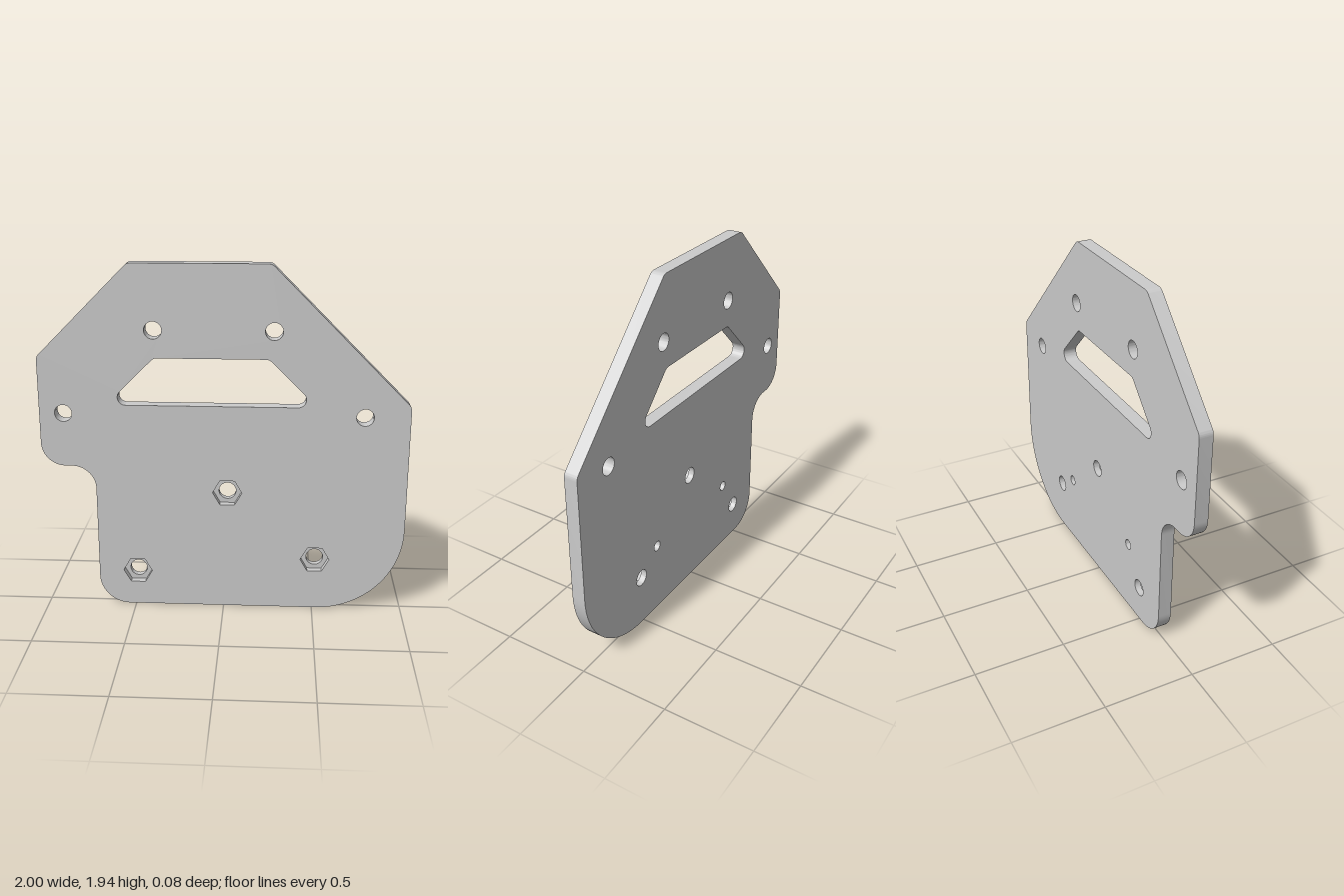
import * as THREE from 'three';
import { toCreasedNormals } from 'three/addons/utils/BufferGeometryUtils.js';

const FRONT = 0.0375, BACK = -0.0375, FLOOR = -0.0025;
const material = new THREE.MeshStandardMaterial({ color: 0xcccccc });

// Counter-clockwise loop from sharp corners [x, y, fillet radius]
function filleted(corners) {
  const points = [];
  const n = corners.length;
  corners.forEach(([x, y, r], i) => {
    const corner = new THREE.Vector2(x, y);
    const [px, py] = corners[(i + n - 1) % n], [nx, ny] = corners[(i + 1) % n];
    const a = new THREE.Vector2(px, py).sub(corner).normalize();
    const b = new THREE.Vector2(nx, ny).sub(corner).normalize();
    const half = Math.acos(a.dot(b)) / 2;
    const turn = (Math.PI - 2 * half) * Math.sign(b.cross(a));
    const center = a.clone().add(b).normalize().multiplyScalar(r / Math.sin(half)).add(corner);
    const start = a.clone().multiplyScalar(r / Math.tan(half)).add(corner).sub(center);
    const steps = Math.ceil(Math.abs(turn) / 0.09);
    for (let k = 0; k <= steps; k++) {
      points.push(start.clone().rotateAround(new THREE.Vector2(), (turn * k) / steps).add(center));
    }
  });
  return points;
}

// Counter-clockwise regular polygon
function polygon([x, y], r, sides) {
  return Array.from({ length: sides }, (_, i) => {
    const t = (i / sides) * Math.PI * 2;
    return new THREE.Vector2(x + r * Math.cos(t), y + r * Math.sin(t));
  });
}

const circle = (p, r) => polygon(p, r, 40);

export function createModel() {
  const group = new THREE.Group();
  const add = (name, geometry) => {
    const mesh = new THREE.Mesh(geometry, material);
    mesh.name = name;
    group.add(mesh);
  };

  // Flat face with holes, facing +z, or -z when back is true
  const face = (name, loop, holes, z, back = false) => {
    const shape = new THREE.Shape(loop);
    shape.holes = holes.map((h) => new THREE.Path(h));
    const g = new THREE.ShapeGeometry(shape);
    if (back) {
      g.index.array.reverse();
      g.computeVertexNormals();
    }
    add(name, g.translate(0, 0, z));
  };

  // Side wall along a loop; an inner wall faces into its opening
  const wall = (name, loop, z0, z1, inner = true) => {
    const pts = inner ? [...loop].reverse() : loop;
    const pos = [];
    pts.forEach((p, i) => {
      const q = pts[(i + 1) % pts.length];
      pos.push(p.x, p.y, z0, q.x, q.y, z0, q.x, q.y, z1);
      pos.push(p.x, p.y, z0, q.x, q.y, z1, p.x, p.y, z1);
    });
    const g = new THREE.BufferGeometry();
    g.setAttribute('position', new THREE.Float32BufferAttribute(pos, 3));
    add(name, toCreasedNormals(g, 0.5));
  };

  const outline = filleted([
    [-0.705, 0, 0.17], [1, 0, 0.48], [1, 1.19, 0.045], [0.25, 1.94, 0.045],
    [-0.5, 1.94, 0.045], [-1, 1.44, 0.045], [-1, 0.83, 0.13], [-0.705, 0.83, 0.13],
  ]);
  const slot = filleted([
    [-0.632, 1.18, 0.043], [0.502, 1.18, 0.043], [0.242, 1.44, 0.043], [-0.372, 1.44, 0.043],
  ]);
  const boltHoles = [[-0.373, 1.59], [0.266, 1.59], [-0.869, 1.13], [0.757, 1.13]]
    .map((p) => circle(p, 0.047));
  const nutCentres = [[0.02, 0.686], [0.51, 0.297], [-0.486, 0.206]];
  const nutHoles = nutCentres.map((p) => circle(p, 0.047));
  const nutPockets = nutCentres.map((p) => polygon(p, 0.081, 6));
  const pinHoles = [[0.355, 0.41], [-0.355, 0.41]].map((p) => circle(p, 0.029));

  // Plate faces and rim
  face('plateFront', outline, [slot, ...boltHoles, ...nutPockets], FRONT);
  face('plateBack', outline, [slot, ...boltHoles, ...nutHoles, ...pinHoles], BACK, true);
  wall('plateRim', outline, BACK, FRONT, false);

  // Openings that go straight through
  wall('slotWall', slot, BACK, FRONT);
  boltHoles.forEach((h) => wall('boltHole', h, BACK, FRONT));

  // Hexagonal nut pockets in the front, each with a through hole
  nutPockets.forEach((hex, i) => {
    wall('nutPocketWall', hex, FLOOR, FRONT);
    face('nutPocketFloor', hex, [nutHoles[i]], FLOOR);
    wall('nutHole', nutHoles[i], BACK, FLOOR);
  });

  // Blind pin holes in the back
  pinHoles.forEach((h) => {
    wall('pinHoleWall', h, BACK, FLOOR);
    face('pinHoleFloor', h, [], FLOOR, true);
  });

  return group;
}
